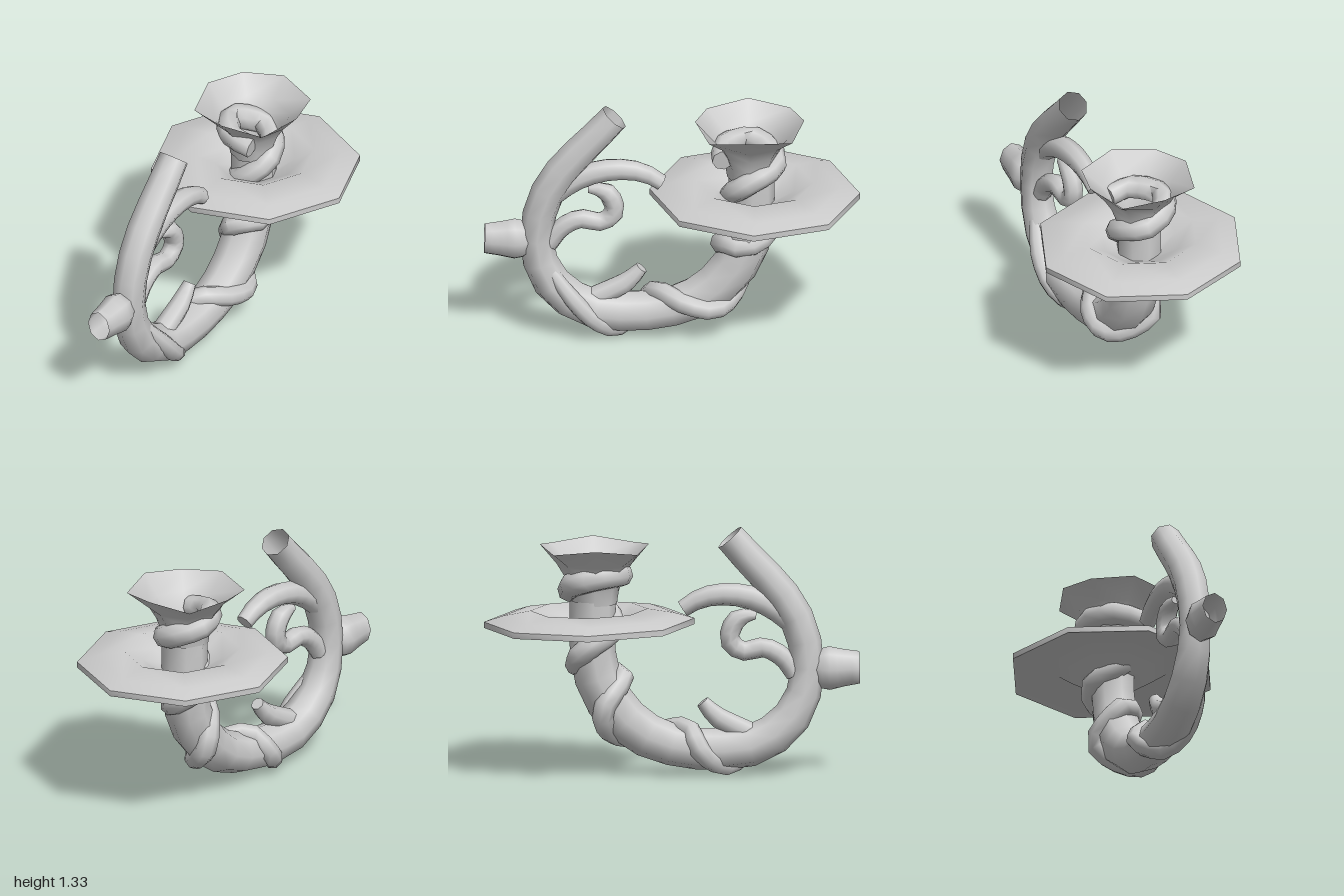
import * as THREE from 'three';
import { mergeVertices, toCreasedNormals } from 'three/addons/utils/BufferGeometryUtils.js';

const material = new THREE.MeshStandardMaterial({ color: 0xcccccc, side: THREE.DoubleSide });

// Smooth normals with sharp edges kept
function finish(geometry, name) {
  geometry.deleteAttribute('uv');
  geometry.deleteAttribute('normal');
  const mesh = new THREE.Mesh(toCreasedNormals(mergeVertices(geometry, 1e-4), 1.15), material);
  mesh.name = name;
  return mesh;
}

// Tapering tube through points [x, y, z, radius], optionally closed at its ends
function taperedTube(name, points, segments, sides, capped) {
  const curve = new THREE.CatmullRomCurve3(points.map(([x, y, z]) => new THREE.Vector3(x, y, z)));
  const extra = capped ? 1 : 0;
  const rings = segments + 2 * extra;
  const geometry = new THREE.TubeGeometry(curve, rings, 1, sides);
  const { position, normal } = geometry.attributes;
  const out = new THREE.Vector3();
  for (let i = 0; i <= rings; i++) {
    const u = THREE.MathUtils.clamp((i - extra) / segments, 0, 1);
    const t = curve.getUtoTmapping(u) * (points.length - 1);
    const k = Math.min(Math.floor(t), points.length - 2);
    const isPole = capped && (i === 0 || i === rings);
    const radius = isPole ? 0 : THREE.MathUtils.lerp(points[k][3], points[k + 1][3], t - k);
    const center = curve.getPointAt(u);
    for (let j = 0; j <= sides; j++) {
      const v = i * (sides + 1) + j;
      out.fromBufferAttribute(normal, v).multiplyScalar(radius).add(center);
      position.setXYZ(v, out.x, out.y, out.z);
    }
  }
  return finish(geometry, name);
}

const lathe = (profile) =>
  new THREE.LatheGeometry(profile.map(([r, y]) => new THREE.Vector2(r, y)), 8);

export function createModel() {
  const model = new THREE.Group();
  model.name = 'candleSconce';

  // Curved main arm, open at the top
  model.add(taperedTube('mainArm', [
    [-0.31, 1.285, 0, 0.082], [-0.44, 1.14, 0, 0.087], [-0.57, 1.0, 0, 0.092], [-0.685, 0.8, 0, 0.092],
    [-0.722, 0.55, 0, 0.087], [-0.65, 0.33, 0, 0.102], [-0.47, 0.18, 0, 0.112], [-0.25, 0.145, 0, 0.112],
    [0, 0.17, 0, 0.112], [0.2, 0.265, 0, 0.122], [0.345, 0.43, 0, 0.127], [0.41, 0.6, 0, 0.122],
    [0.42, 0.8, 0, 0.122], [0.42, 0.95, 0, 0.122],
  ], 20, 8, false));

  // Stub that meets the wall
  const wallMount = taperedTube('wallMount', [
    [-1, 0.582, 0, 0.087], [-0.92, 0.58, 0, 0.1], [-0.82, 0.578, 0, 0.122], [-0.76, 0.58, 0, 0.08],
  ], 6, 8, false);
  wallMount.scale.z = 0.8;
  model.add(wallMount);

  // Side branches
  model.add(taperedTube('upperBranch', [
    [-0.68, 0.79, 0, 0.06], [-0.56, 0.895, 0, 0.066], [-0.43, 0.957, 0, 0.064], [-0.28, 0.978, 0, 0.06],
    [-0.15, 0.955, 0, 0.054], [-0.06, 0.9, 0, 0.046],
  ], 9, 8, true));
  model.add(taperedTube('curledBranch', [
    [-0.66, 0.55, 0, 0.054], [-0.59, 0.64, 0, 0.054], [-0.49, 0.69, 0, 0.054], [-0.38, 0.672, 0, 0.052],
    [-0.315, 0.72, 0, 0.055], [-0.32, 0.8, 0, 0.055], [-0.37, 0.86, 0, 0.052], [-0.45, 0.865, 0, 0.022],
  ], 14, 8, true));
  model.add(taperedTube('lowerBranch', [
    [-0.47, 0.2, 0, 0.065], [-0.34, 0.265, 0, 0.06], [-0.24, 0.32, 0, 0.055], [-0.165, 0.4, 0, 0.036],
  ], 6, 8, true));

  // Vine winding up the arm and into the cup
  model.add(taperedTube('vine', [
    [-0.66, 0.42, 0.04, 0.035], [-0.53, 0.25, 0.085, 0.05], [-0.41, 0.12, 0.075, 0.05], [-0.29, 0.055, 0, 0.054],
    [-0.15, 0.15, -0.105, 0.055], [-0.09, 0.26, -0.01, 0.055], [0.07, 0.225, 0.1, 0.054],
    [0.22, 0.195, 0.1, 0.054], [0.32, 0.235, 0, 0.056], [0.37, 0.36, -0.115, 0.06],
    [0.26, 0.545, 0, 0.06], [0.38, 0.55, 0.09, 0.058], [0.51, 0.61, 0, 0.062],
    [0.44, 0.71, -0.12, 0.062], [0.3, 0.81, 0, 0.06], [0.4, 0.94, 0.12, 0.062],
    [0.55, 1.01, 0, 0.068], [0.44, 1.08, -0.145, 0.07], [0.27, 1.09, -0.04, 0.065], [0.265, 1.07, 0.1, 0.058],
  ], 52, 8, true));

  // Eight-sided drip plate: a thin dish that crests, then dips to the neck
  const plate = finish(lathe([
    [0.1, 0.755], [0.22, 0.795], [0.31, 0.86], [0.46, 0.838], [0.56, 0.81],
    [0.56, 0.842], [0.46, 0.872], [0.31, 0.898], [0.21, 0.845], [0.1, 0.785],
  ]).translate(0, -0.83, 0), 'dripPlate');
  plate.position.set(0.437, 0.83, 0);
  plate.rotation.set(0, -0.035, -0.02);
  model.add(plate);

  // Flared open cup with a lower, wider rim at the diagonals
  const cup = lathe([[0.12, 0.93], [0.13, 1.0], [0.16, 1.08], [0.2, 1.145], [0.29, 1.252]]);
  const p = cup.attributes.position;
  for (let i = 0; i < p.count; i++) {
    const diagonal = Math.abs(p.getX(i) * p.getZ(i)) > 0.001;
    if (p.getY(i) > 1.2 && diagonal) p.setXYZ(i, p.getX(i) * 1.08, 1.225, p.getZ(i) * 1.08);
  }
  const cupMesh = finish(cup, 'candleCup');
  cupMesh.position.x = 0.41;
  model.add(cupMesh);

  return model;
}
